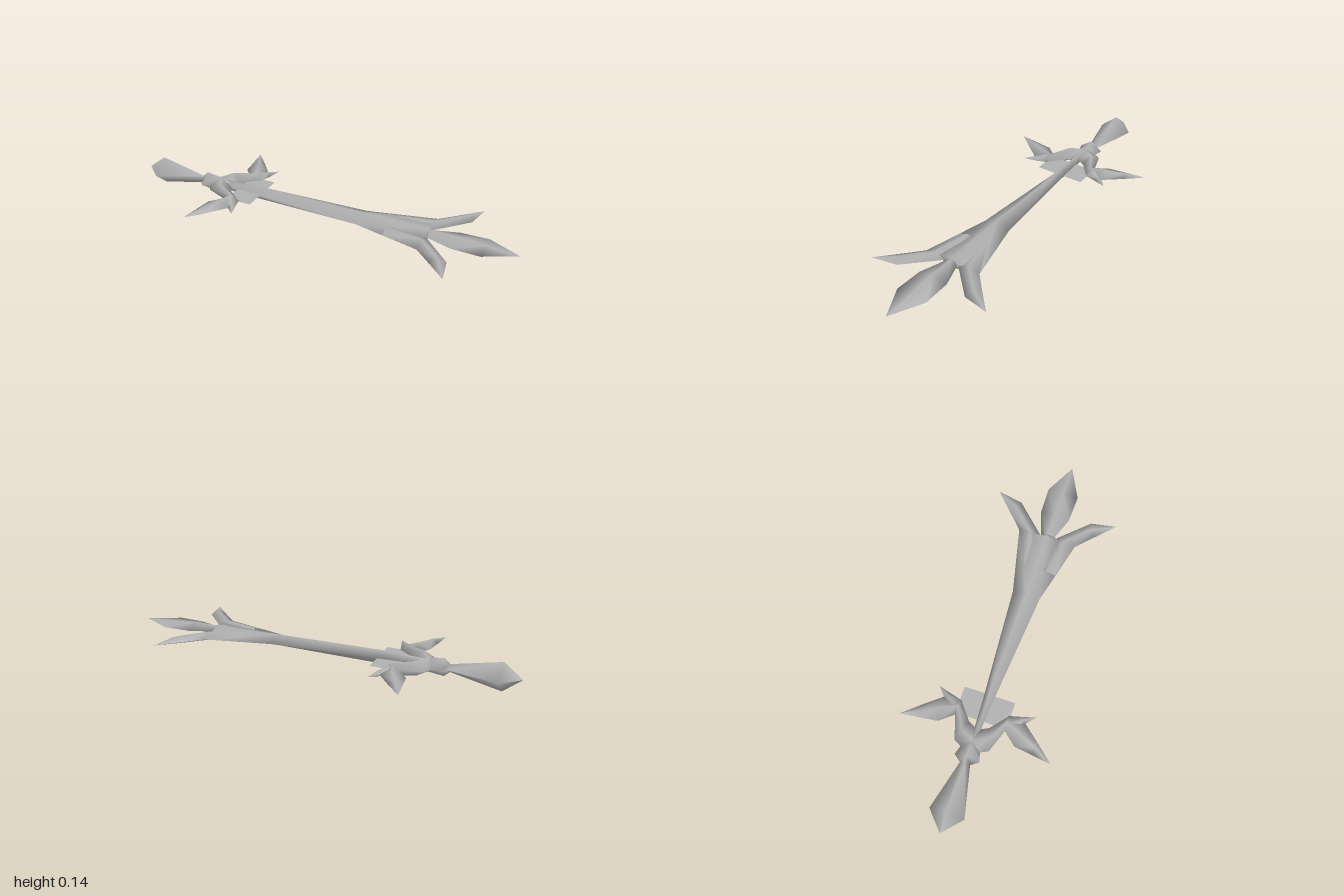
import * as THREE from 'three';

const MID = 0.072; // height of the flat centre plane

// Diamond-section loft. Each section: [leftX, leftZ, rightX, rightZ, ridge half height],
// left and right as seen when travelling along the loft.
function loft(sections, mirror = false) {
  const pos = [], index = [];
  for (const [lx, lz, rx, rz, h] of sections) {
    const a = mirror ? [rx, -rz] : [lx, lz];
    const b = mirror ? [lx, -lz] : [rx, rz];
    const mx = (a[0] + b[0]) / 2, mz = (a[1] + b[1]) / 2;
    pos.push(a[0], MID, a[1], mx, MID + h, mz, b[0], MID, b[1], mx, MID - h, mz);
  }
  for (let s = 0; s < sections.length - 1; s++) {
    for (let i = 0; i < 4; i++) {
      const a0 = s * 4 + i, a1 = s * 4 + (i + 1) % 4, b0 = a0 + 4, b1 = a1 + 4;
      index.push(a0, a1, b0, a1, b1, b0);
    }
  }
  const g = new THREE.BufferGeometry();
  g.setAttribute('position', new THREE.Float32BufferAttribute(pos, 3));
  g.setIndex(index);
  g.computeVertexNormals();
  return g;
}

// Symmetric section across the long axis: x, half width, half height
const across = (x, w, h) => [x, -w, x, w, h];

export function createModel() {
  const group = new THREE.Group();
  const steel = new THREE.MeshStandardMaterial({ color: 0xb0b0b0, side: THREE.DoubleSide });
  steel.name = 'grey steel';

  const add = (name, geometry) => {
    const mesh = new THREE.Mesh(geometry, steel);
    mesh.name = name;
    group.add(mesh);
  };

  // Flared grip, narrowing to the neck, then the knob
  add('grip', loft([
    across(-1, 0, 0), across(-0.908, 0.085, 0.072), across(-0.665, 0.025, 0.02),
    across(-0.638, 0.062, 0.045), across(-0.57, 0.04, 0.037), across(-0.5, 0, 0.02),
  ]));

  // Long shaft widening into the blade
  add('blade', loft([
    across(-0.6, 0.01, 0.025), across(-0.35, 0.024, 0.035), across(0.23, 0.07, 0.029),
    across(0.565, 0.15, 0.025), across(0.575, 0.03, 0.024),
  ]));

  // Leaf-shaped centre point
  add('centrePoint', loft([
    across(0.5, 0.02, 0.024), across(0.57, 0.032, 0.024), across(0.7, 0.076, 0.022),
    across(0.84, 0.08, 0.012), across(1, 0, 0),
  ]));

  // Mirrored prongs and guard arms
  for (const mirror of [false, true]) {
    const side = mirror ? 'right' : 'left';
    add(side + 'Prong', loft([
      [0.38, 0.01, 0.38, 0.105, 0.018], [0.565, 0.03, 0.565, 0.15, 0.022],
      [0.72, 0.19, 0.64, 0.22, 0.019], [0.745, 0.32, 0.745, 0.32, 0],
    ], mirror));
    add(side + 'GuardArm', loft([
      [-0.5, -0.01, -0.62, 0, 0.037], [-0.47, 0.05, -0.575, 0.085, 0.037],
      [-0.385, 0.12, -0.46, 0.125, 0.03], [-0.39, 0.2, -0.515, 0.19, 0.024],
      [-0.46, 0.285, -0.528, 0.285, 0.017], [-0.54, 0.377, -0.54, 0.377, 0],
    ], mirror));
    add(side + 'GuardSpur', loft([
      [-0.385, 0.115, -0.45, 0.17, 0.026], [-0.368, 0.18, -0.4, 0.2, 0.015],
      [-0.35, 0.245, -0.35, 0.245, 0],
    ], mirror));
  }

  // Thin flat plate between the guard arms
  const plate = new THREE.PlaneGeometry(0.135, 0.256);
  plate.rotateX(-Math.PI / 2);
  plate.translate(-0.383, MID, 0);
  add('guardPlate', plate);

  return group;
}
